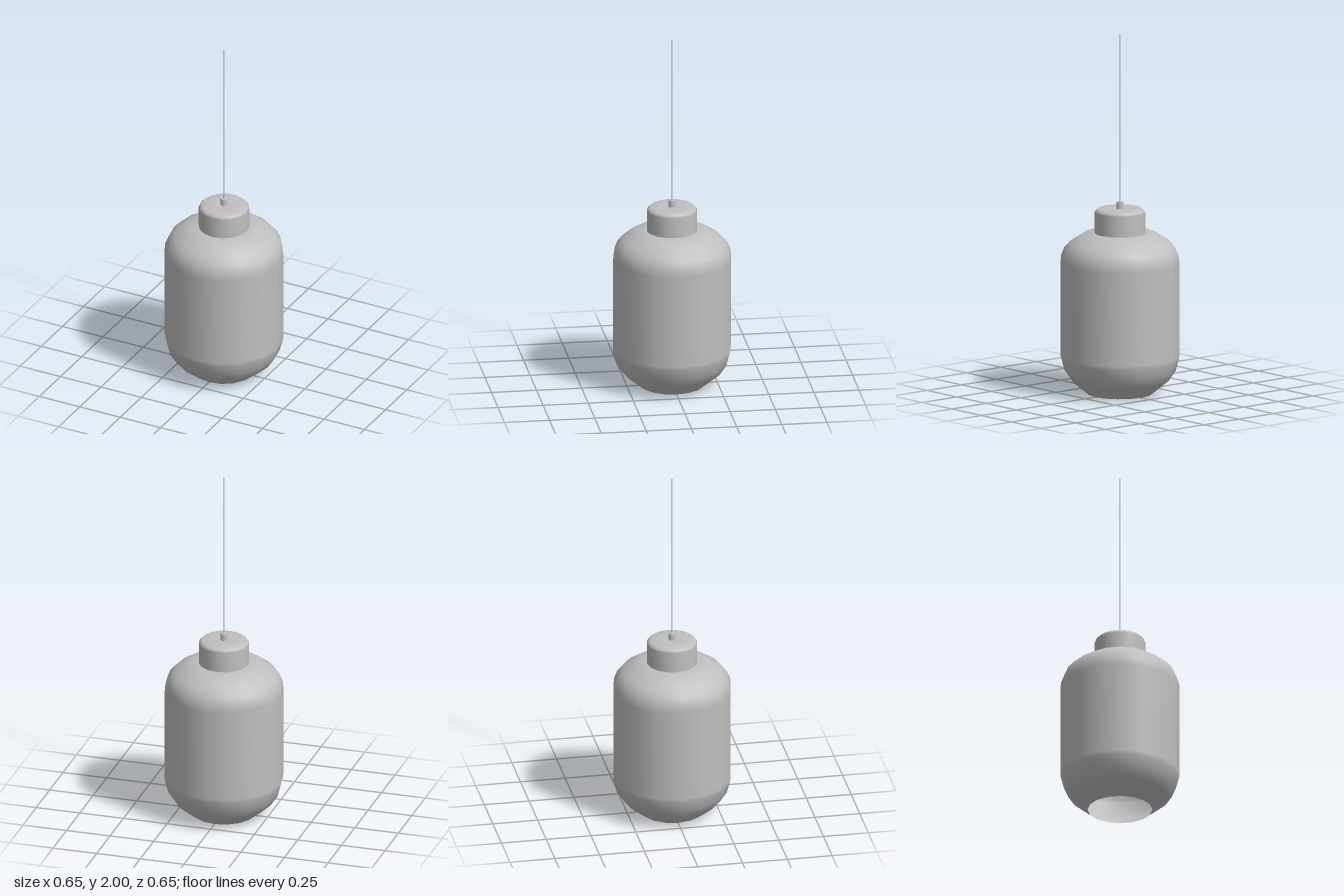
import * as THREE from 'three';

export function createModel() {
  const group = new THREE.Group();
  group.name = 'pendantLamp';
  const grey = new THREE.MeshStandardMaterial({ color: 0xbfbfbf, side: THREE.DoubleSide });
  grey.name = 'light grey';

  // Revolve a profile of [radius, height] points, listed from bottom to top
  const turn = (name, profile, sides) => {
    const points = profile.map(([r, y]) => new THREE.Vector2(r, y));
    const mesh = new THREE.Mesh(new THREE.LatheGeometry(points, sides), grey);
    mesh.name = name;
    group.add(mesh);
  };

  // Shade: thin rounded shell, open at the bottom
  turn('shade', [
    [0.178, 0], [0.185, 0.006], [0.268, 0.073], [0.307, 0.13], [0.323, 0.19], [0.327, 0.21],
    [0.327, 0.73], [0.323, 0.77], [0.307, 0.81], [0.275, 0.846], [0.2, 0.893], [0.135, 0.895],
  ], 16);

  // Cap: collar with a softened top edge
  turn('cap', [
    [0.139, 0.885], [0.139, 1.01], [0.134, 1.02], [0.12, 1.032], [0.065, 1.034], [0, 1.03],
  ], 16);

  // Cord grip on the cap
  turn('cordGrip', [[0.02, 1.025], [0.02, 1.066], [0.017, 1.07], [0, 1.071]], 8);

  // Cord
  turn('cord', [[0.004, 1.06], [0.004, 2], [0, 2]], 8);

  return group;
}
